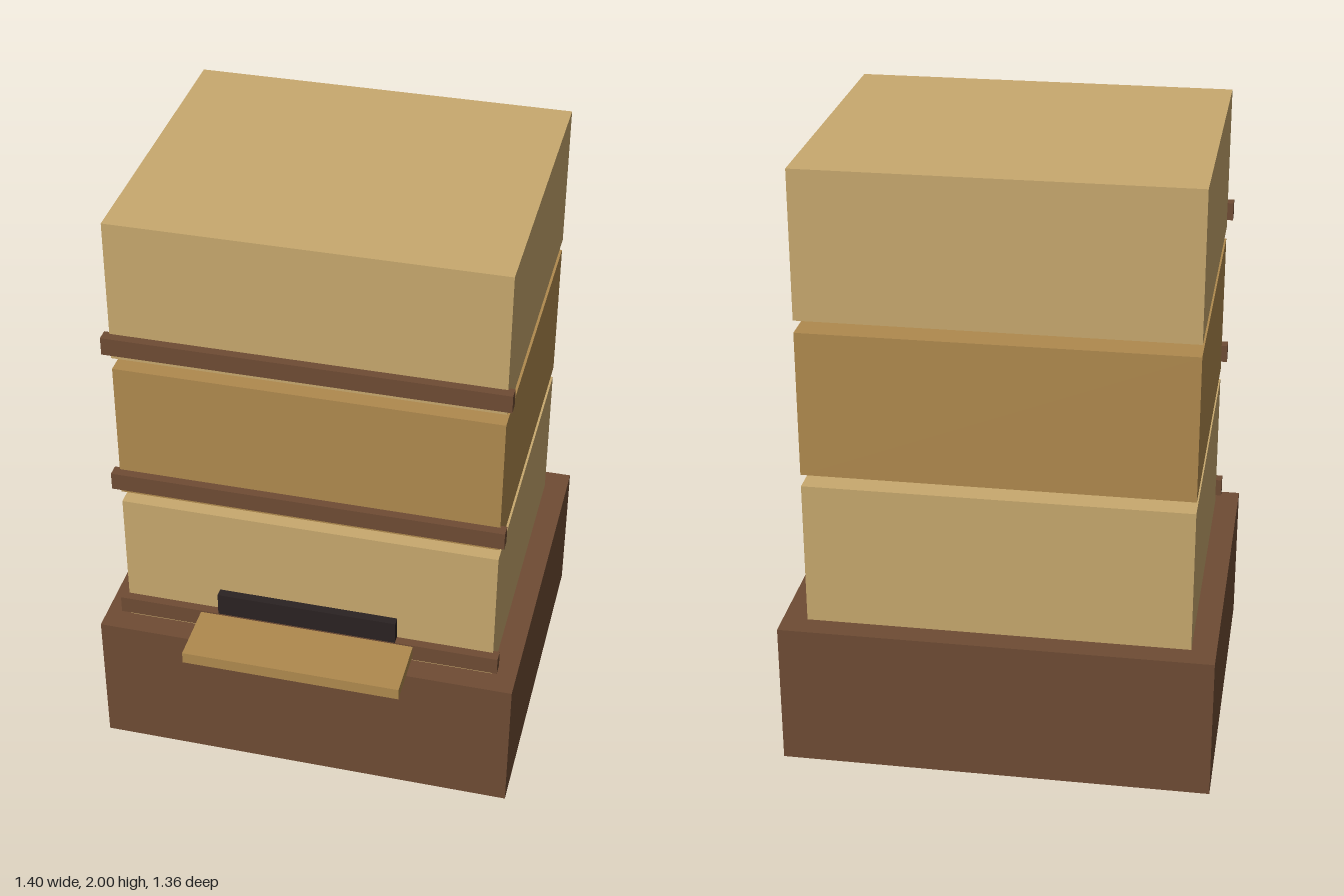
import * as THREE from 'three';

const material = (name, color) => {
  const m = new THREE.MeshStandardMaterial({ color });
  m.name = name;
  return m;
};

export function createModel() {
  const model = new THREE.Group();
  model.name = 'beehive';
  const paleWood = material('pale wood', 0xc8a96e);
  const honeyWood = material('honey wood', 0xb08a4e);
  const darkWood = material('dark wood', 0x6f4c34);
  const black = material('entrance black', 0x2a2222);

  // Box centred on x, given its width and its y and z ranges
  const addBox = (name, mat, width, [y0, y1], [z0, z1]) => {
    const mesh = new THREE.Mesh(new THREE.BoxGeometry(width, y1 - y0, z1 - z0), mat);
    mesh.name = name;
    mesh.position.set(0, (y0 + y1) / 2, (z0 + z1) / 2);
    model.add(mesh);
  };

  addBox('base', darkWood, 1.4, [0, 0.48], [-0.68, 0.52]);

  // Three stacked hive boxes with narrow gaps, each with a front rail
  [paleWood, honeyWood, paleWood].forEach((mat, i) => {
    const y = 0.48 + i * 0.52;
    addBox(`hiveBox${i + 1}`, mat, 1.24, [y, y + 0.48], [-0.6, 0.44]);
    addBox(`frontRail${i + 1}`, darkWood, 1.28, [y + 0.03, y + 0.09], [0.43, 0.47]);
  });

  // Entrance slot and landing board
  addBox('entrance', black, 0.6, [0.57, 0.65], [0.43, 0.47]);
  addBox('landingBoard', honeyWood, 0.72, [0.525, 0.565], [0.46, 0.68]);

  return model;
}
